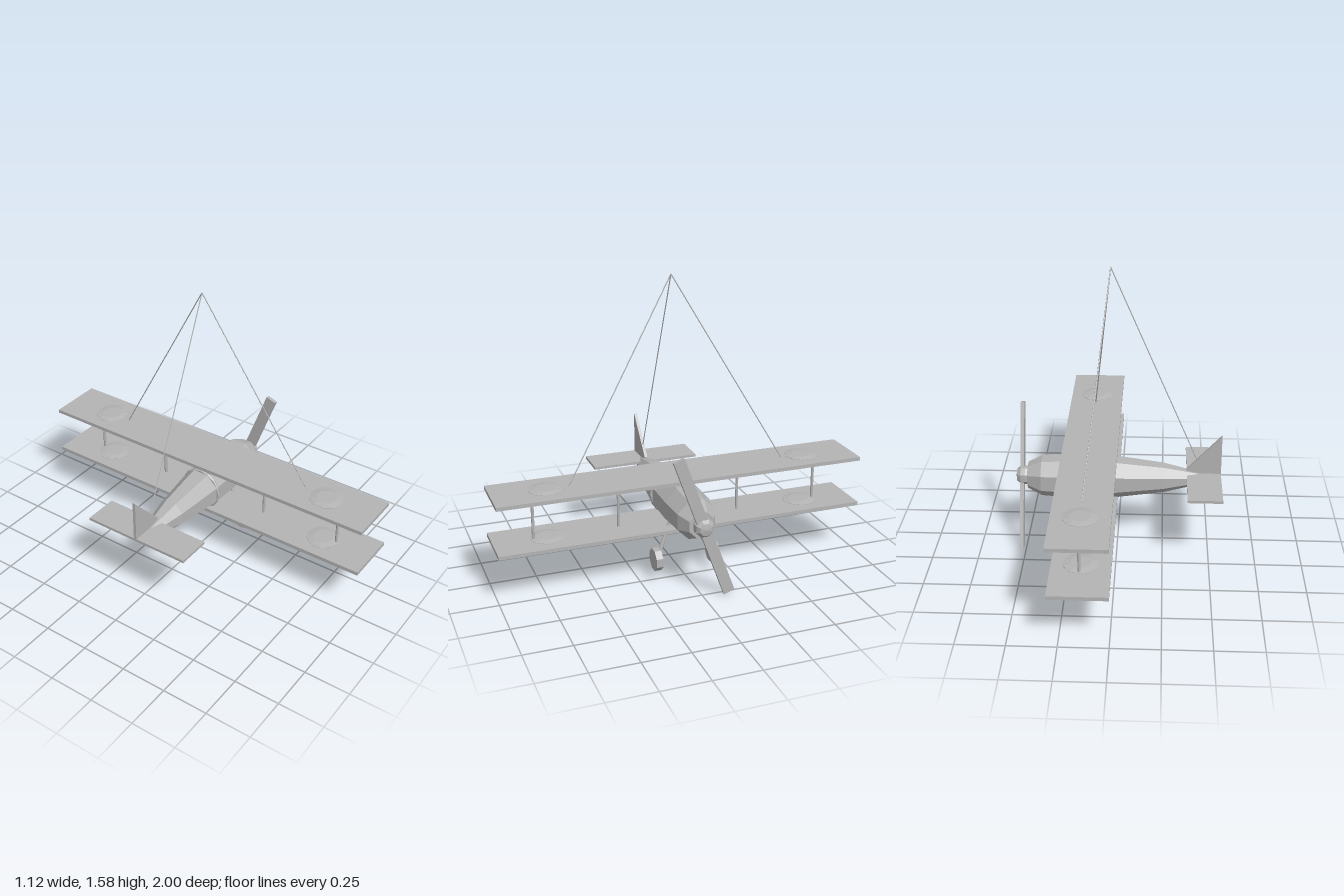
import * as THREE from 'three';

const grey = new THREE.MeshStandardMaterial({ color: 0xb4b4b4, flatShading: true });
grey.name = 'plain grey';

export function createModel() {
  const model = new THREE.Group();
  model.name = 'hangingBiplane';
  const axisY = 0.392;

  const add = (name, geometry, x = 0, y = 0, z = 0) => {
    const mesh = new THREE.Mesh(geometry, grey);
    mesh.name = name;
    mesh.position.set(x, y, z);
    model.add(mesh);
    return mesh;
  };
  const box = (name, w, h, d, x, y, z) => add(name, new THREE.BoxGeometry(w, h, d), x, y, z);

  // Round rod between two points
  const rod = (name, a, b, radius, sides = 8) => {
    const from = new THREE.Vector3(...a), to = new THREE.Vector3(...b);
    const dir = to.clone().sub(from);
    const mesh = add(name, new THREE.CylinderGeometry(radius, radius, dir.length(), sides));
    mesh.position.copy(from).add(to).multiplyScalar(0.5);
    mesh.quaternion.setFromUnitVectors(new THREE.Vector3(0, 1, 0), dir.normalize());
    return mesh;
  };

  // Eight-sided body of revolution along x; profile is [x, half height]
  const turned = (name, profile) => {
    const k = 1 / Math.cos(Math.PI / 8);
    const points = profile.map(([x, r]) => new THREE.Vector2(r * k, x));
    const geometry = new THREE.LatheGeometry(points, 8, Math.PI / 8);
    geometry.rotateZ(-Math.PI / 2);
    return add(name, geometry, 0, axisY, 0);
  };

  // Fuselage and its hoop
  turned('fuselage', [[-0.54, 0], [-0.505, 0.019], [-0.25, 0.075], [0.02, 0.107],
    [0.25, 0.112], [0.413, 0.103], [0.49, 0.067], [0.49, 0]]);
  const hoop = new THREE.TorusGeometry(0.112, 0.009, 6, 16);
  hoop.rotateY(Math.PI / 2);
  add('fuselageHoop', hoop, 0.035, axisY, 0);

  // Propeller
  turned('propellerHub', [[0.485, 0], [0.485, 0.044], [0.505, 0.049], [0.53, 0.047],
    [0.55, 0.032], [0.556, 0]]);
  box('propellerBlade', 0.02, 0.806, 0.06, 0.522, axisY, 0).rotation.x = 0.352;

  // Wings with round boss plates
  const upperY = 0.549, lowerY = 0.286;
  const boss = [[0, -0.018], [0.055, -0.018], [0.093, -0.0115], [0.093, 0.0115], [0.055, 0.018], [0, 0.018]]
    .map(([r, y]) => new THREE.Vector2(r, y));
  for (const [label, y] of [['upper', upperY], ['lower', lowerY]]) {
    box(label + 'Wing', 0.3, 0.02, 2, 0.15, y, 0);
    for (const side of [-1, 1])
      add(label + 'WingBoss', new THREE.LatheGeometry(boss, 10), 0.15, y, side * 0.715);
  }

  // Tail plane and fin
  box('tailPlane', 0.185, 0.015, 0.61, -0.469, 0.417, 0);
  const fin = new THREE.Shape([[-0.562, 0.41], [-0.376, 0.41], [-0.376, 0.447], [-0.562, 0.652]]
    .map(([x, y]) => new THREE.Vector2(x, y)));
  add('tailFin', new THREE.ExtrudeGeometry(fin, { depth: 0.016, bevelEnabled: false }), 0, 0, -0.008);

  // Struts, landing gear and hanging strings
  const apex = [0.035, 1.585, 0];
  for (const side of [-1, 1]) {
    for (const z of [0.335, 0.79])
      rod('wingStrut', [0.155, lowerY, side * z], [0.155, upperY, side * z], 0.008);

    rod('wheelLeg', [0.225, 0.315, side * 0.075], [0.247, 0.118, side * 0.155], 0.01);
    const wheel = new THREE.CylinderGeometry(0.061, 0.061, 0.037, 8);
    wheel.rotateY(Math.PI / 8);
    wheel.rotateX(Math.PI / 2);
    add('wheel', wheel, 0.247, 0.118, side * 0.158);

    rod('wingString', apex, [0.155, upperY, side * 0.6], 0.003, 6);
  }
  rod('tailString', apex, [-0.432, 0.5, 0], 0.003, 6);

  return model;
}
